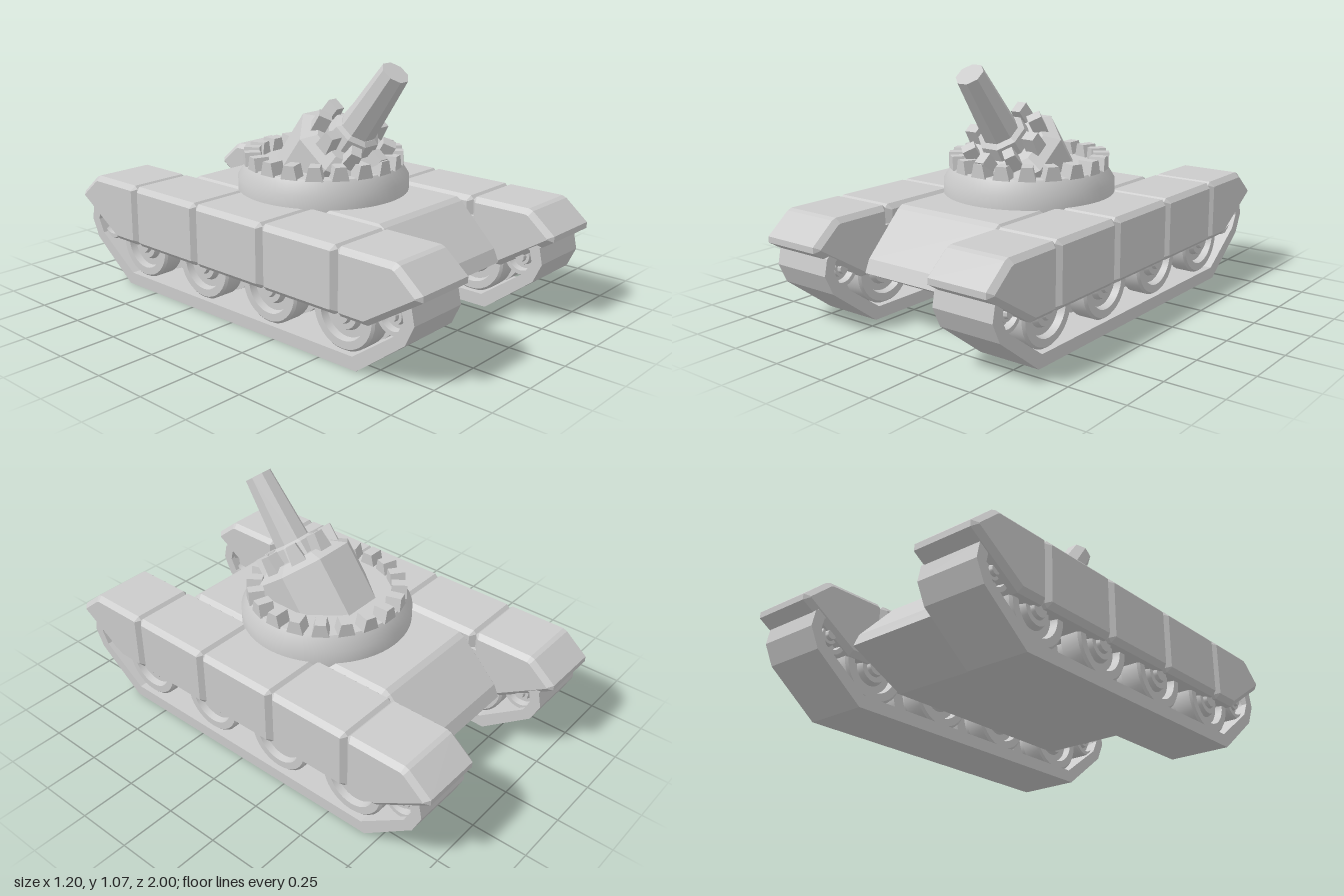
import * as THREE from 'three';
import { toCreasedNormals } from 'three/addons/utils/BufferGeometryUtils.js';

const grey = new THREE.MeshStandardMaterial({ color: 0xcccccc });
const faceted = new THREE.MeshStandardMaterial({ color: 0xcccccc, flatShading: true });

function add(parent, name, geometry, material = grey) {
  const mesh = new THREE.Mesh(geometry, material);
  mesh.name = name;
  parent.add(mesh);
  return mesh;
}

const vectors = (points) => points.map(([a, b]) => new THREE.Vector2(a, b));

// Side profile given as [z, y], extruded across x and centred, with chamfered rims
function slab(profile, width, bevel = 0, hole = null) {
  const shape = new THREE.Shape(vectors(profile));
  if (hole) shape.holes.push(new THREE.Path(vectors(hole)));
  const depth = width - 2 * bevel;
  const geometry = new THREE.ExtrudeGeometry(shape, {
    depth, bevelEnabled: bevel > 0, bevelThickness: bevel, bevelSize: bevel,
    bevelOffset: -bevel, bevelSegments: 1,
  });
  return geometry.translate(0, 0, -depth / 2).rotateY(-Math.PI / 2);
}

// Half a profile of [z, y] points, reflected in z to close the loop
const mirrored = (half) => [...half, ...half.map(([z, y]) => [-z, y]).reverse()];

function lathe(points, segments) {
  return toCreasedNormals(new THREE.LatheGeometry(vectors(points), segments), 0.6);
}

// Wedge-shaped tooth standing on y = 0, narrower at the top
function toothGeometry(width, height, depth, taper) {
  const geometry = new THREE.BoxGeometry(width, height, depth).translate(0, height / 2, 0);
  const p = geometry.attributes.position;
  for (let i = 0; i < p.count; i++) {
    if (p.getY(i) > height / 2) p.setX(i, p.getX(i) * taper);
  }
  return geometry;
}

function toothRing(parent, name, count, radius, y, geometry) {
  for (let i = 0; i < count; i++) {
    const a = (i / count) * Math.PI * 2;
    const tooth = add(parent, name, geometry, faceted);
    tooth.position.set(Math.sin(a) * radius, y, Math.cos(a) * radius);
    tooth.rotation.y = a;
  }
}

function createRunningGear(side) {
  const gear = new THREE.Group();
  gear.name = side > 0 ? 'leftRunningGear' : 'rightRunningGear';

  // Track belt
  const outer = mirrored([[0.69, 0], [0.92, 0.175], [0.96, 0.26], [0.945, 0.33], [0.86, 0.4]]);
  const inner = mirrored([[0.67, 0.055], [0.88, 0.205], [0.91, 0.265], [0.9, 0.31], [0.84, 0.35]]);
  add(gear, 'track', slab(outer, 0.285, 0, inner)).position.x = side * 0.432;

  // Road wheels and smaller end wheels, with stepped hubs
  const half = [[0.155, 0.03], [0.155, 0.11], [0.145, 0.12], [0.112, 0.12], [0.105, 0.09],
    [0.075, 0.09], [0.065, 0.115], [0.042, 0.115], [0.036, 0.13], [0, 0.13]];
  const rim = [...half.map(([r, x]) => [r, -x]).reverse(), [0.1, -0.03], [0.1, 0.03], ...half];
  const wheel = lathe(rim, 32).rotateZ(Math.PI / 2);
  for (const z of [-0.6, -0.2, 0.2, 0.6]) {
    add(gear, 'roadWheel', wheel).position.set(side * 0.432, 0.205, z);
  }
  for (const z of [-0.845, 0.845]) {
    const end = add(gear, 'endWheel', wheel);
    end.position.set(side * 0.432, 0.265, z);
    end.scale.set(1, 0.56, 0.56);
  }

  // Armoured fender: three middle blocks and two sloped end blocks
  const c = 0.015;
  const top = 0.484, bottom = 0.205;
  const middle = mirrored([[0.2 - c, bottom], [0.2, bottom + c], [0.2, top - c], [0.2 - c, top]]);
  for (const z of [-0.4, 0, 0.4]) {
    add(gear, 'fenderBlock', slab(middle, 0.315, 0.022)).position.set(side * 0.443, 0, z);
  }
  const end = [[0.6 + c, bottom], [0.75, bottom], [1, 0.362], [1, 0.388],
    [0.895, top - 0.008], [0.875, top], [0.6 + c, top], [0.6, top - c], [0.6, bottom + c]];
  for (const turn of [0, Math.PI]) {
    const block = add(gear, 'fenderEnd', slab(end, 0.315, 0.022));
    block.position.x = side * 0.443;
    block.rotation.y = turn;
  }
  return gear;
}

function createTurret() {
  const turret = new THREE.Group();
  turret.name = 'turret';

  // Round base with a toothed rim
  add(turret, 'turretBase', lathe([[0, 0.46], [0.382, 0.46], [0.382, 0.54], [0.345, 0.6], [0, 0.6]], 64));
  toothRing(turret, 'rimTooth', 20, 0.32, 0.595, toothGeometry(0.075, 0.06, 0.07, 0.62));

  // Tilted eight-sided mortar; its local y runs along the barrel
  const mortar = new THREE.Group();
  mortar.name = 'mortar';
  mortar.position.set(0, 0.767, 0.197);
  mortar.rotation.x = Math.atan2(0.6, 0.8);
  turret.add(mortar);

  const octagon = (points) => new THREE.LatheGeometry(vectors(points), 8, Math.PI / 8);
  add(mortar, 'breech', octagon([[0, -0.42], [0.238, -0.42], [0.238, -0.1], [0.17, -0.06], [0, -0.06]]), faceted);
  add(mortar, 'collar', octagon([[0.12, -0.08], [0.108, 0], [0.085, 0.012], [0, 0.012]]), faceted);
  add(mortar, 'barrel', octagon([[0, -0.02], [0.085, -0.02], [0.063, 0.338], [0, 0.338]]), faceted);
  toothRing(mortar, 'breechTooth', 8, 0.155, -0.1, toothGeometry(0.075, 0.105, 0.06, 0.62));
  return turret;
}

export function createModel() {
  const model = new THREE.Group();
  model.name = 'tank';

  // Hull with sloped nose and tail
  const hull = mirrored([[0.5, 0.103], [0.765, 0.232], [0.74, 0.288], [0.565, 0.465], [0.54, 0.48]]);
  add(model, 'hull', slab(hull, 0.58, 0.025));

  for (const side of [1, -1]) model.add(createRunningGear(side));
  model.add(createTurret());
  return model;
}
